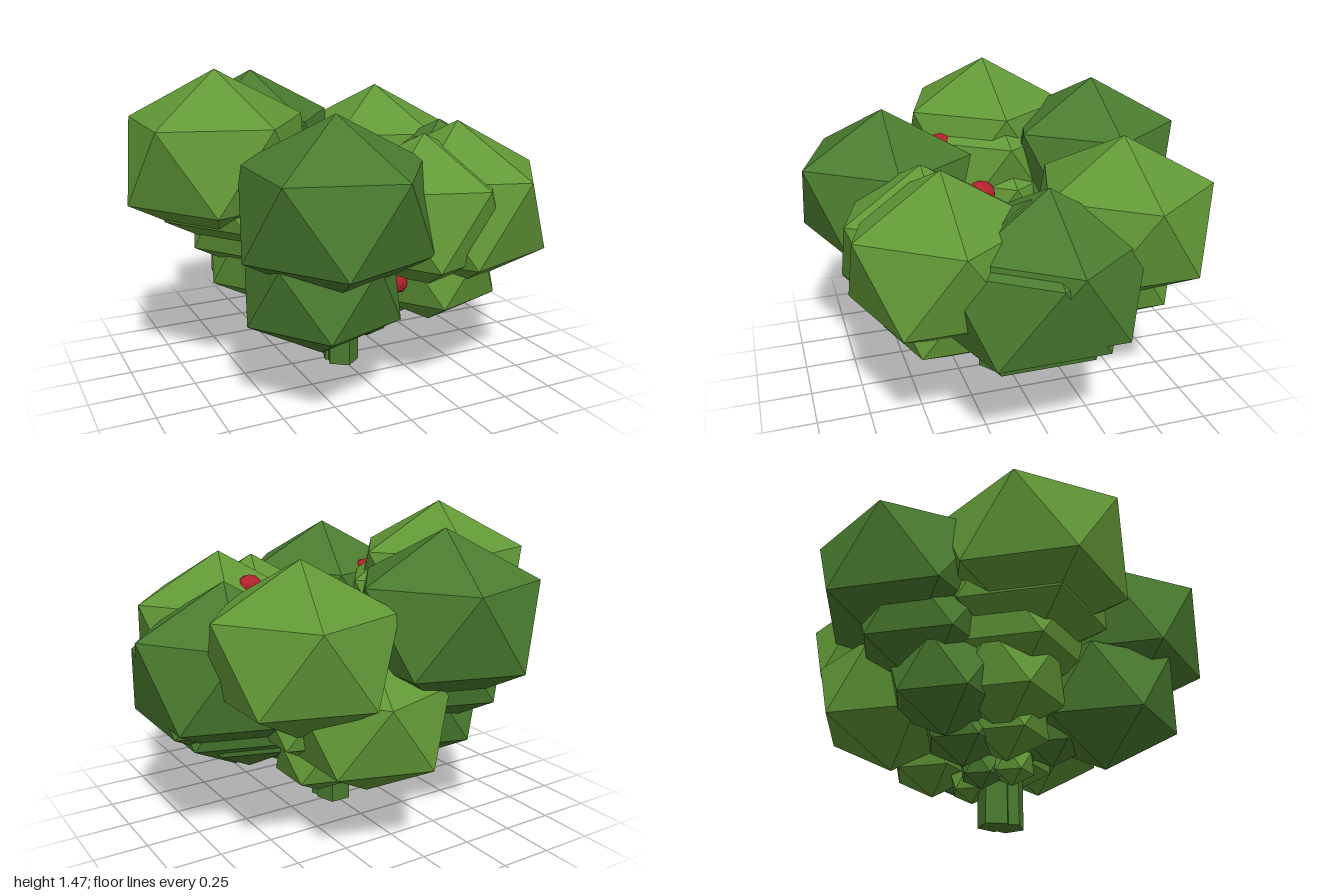
import * as THREE from 'three';

export function createModel() {
  const model = new THREE.Group();
  model.name = 'bush';
  const mat = (name, color) => {
    const m = new THREE.MeshStandardMaterial({ color });
    m.name = name;
    return m;
  };
  const dark = mat('dark green', 0x4a7c2f);
  const light = mat('light green', 0x629937);
  const red = mat('berry red', 0xb2222e);

  // Icosahedron standing on a vertex, slightly squashed, ring radius 1
  const leafGeo = new THREE.IcosahedronGeometry(1 / 0.894, 0);
  leafGeo.rotateZ(-Math.atan(2 / (1 + Math.sqrt(5))));
  leafGeo.scale(1, 0.86, 1);

  // Leaf clumps per branch: [x, y, z, ring radius], from trunk to tip
  const branches = [
    ['back', dark, [[-0.08, 0.24, -0.1, 0.1], [-0.16, 0.38, -0.22, 0.18],
      [-0.28, 0.54, -0.35, 0.26], [-0.26, 0.8, -0.44, 0.33], [-0.24, 1.01, -0.53, 0.42]]],
    ['backLeft', light, [[0.09, 0.22, -0.08, 0.1], [0.23, 0.37, -0.23, 0.2],
      [0.12, 0.59, -0.47, 0.36], [0.3, 0.6, -0.27, 0.25], [0.42, 0.925, -0.41, 0.41]]],
    ['right', light, [[-0.15, 0.25, 0.02, 0.1], [-0.25, 0.41, -0.05, 0.19],
      [-0.34, 0.57, -0.1, 0.27], [-0.37, 0.79, -0.08, 0.33], [-0.46, 0.96, -0.06, 0.38], [-0.58, 1.07, -0.06, 0.42]]],
    ['front', dark, [[-0.16, 0.42, 0.22, 0.16], [-0.28, 0.58, 0.43, 0.35], [-0.26, 0.93, 0.53, 0.42]]],
    ['frontLeft', light, [[0.13, 0.3, 0.08, 0.08], [0.2, 0.42, 0.2, 0.17],
      [0.31, 0.57, 0.37, 0.3], [0.21, 0.84, 0.45, 0.38], [0.41, 0.84, 0.41, 0.42]]],
    ['left', dark, [[0.14, 0.19, 0.06, 0.09], [0.28, 0.42, 0.02, 0.18], [0.46, 0.52, 0.03, 0.27],
      [0.52, 0.62, 0.06, 0.36], [0.57, 0.73, 0.07, 0.42], [0.58, 0.775, -0.01, 0.42]]],
  ];

  // Tapered five-sided stem between two points
  const stem = (name, a, b, r0, r1) => {
    const dir = b.clone().sub(a);
    const geo = new THREE.CylinderGeometry(r1, r0, dir.length(), 5).toNonIndexed();
    geo.computeVertexNormals();
    const mesh = new THREE.Mesh(geo, dark);
    mesh.name = name;
    mesh.position.copy(a).add(b).multiplyScalar(0.5);
    mesh.quaternion.setFromUnitVectors(new THREE.Vector3(0, 1, 0), dir.normalize());
    model.add(mesh);
  };

  for (const [name, material, clumps] of branches) {
    const group = new THREE.Group();
    group.name = name + 'Branch';
    for (const [x, y, z, r] of clumps) {
      const clump = new THREE.Mesh(leafGeo, material);
      clump.name = 'leafClump';
      clump.position.set(x, y, z);
      clump.scale.setScalar(r);
      group.add(clump);
    }
    model.add(group);
    // Twig carrying the branch
    const [x, y, z] = clumps[1];
    stem(name + 'Twig', new THREE.Vector3(0, 0.26, 0.02), new THREE.Vector3(x, y, z), 0.05, 0.04);
  }

  // Trunk of two upright stems grown together
  for (const [z, top] of [[0, 0.56], [0.058, 0.5]])
    stem('trunk', new THREE.Vector3(0, 0, z), new THREE.Vector3(0, top, z), 0.084, 0.08);

  // Faceted berries
  const berryGeo = new THREE.IcosahedronGeometry(0.062, 1);
  berryGeo.scale(1, 0.95, 1);
  berryGeo.computeVertexNormals();
  for (const p of [[0.34, 1.09, 0.215], [0.06, 0.55, 0.48], [-0.34, 1.105, 0.23]]) {
    const berry = new THREE.Mesh(berryGeo, red);
    berry.name = 'berry';
    berry.position.set(...p);
    model.add(berry);
  }
  return model;
}
